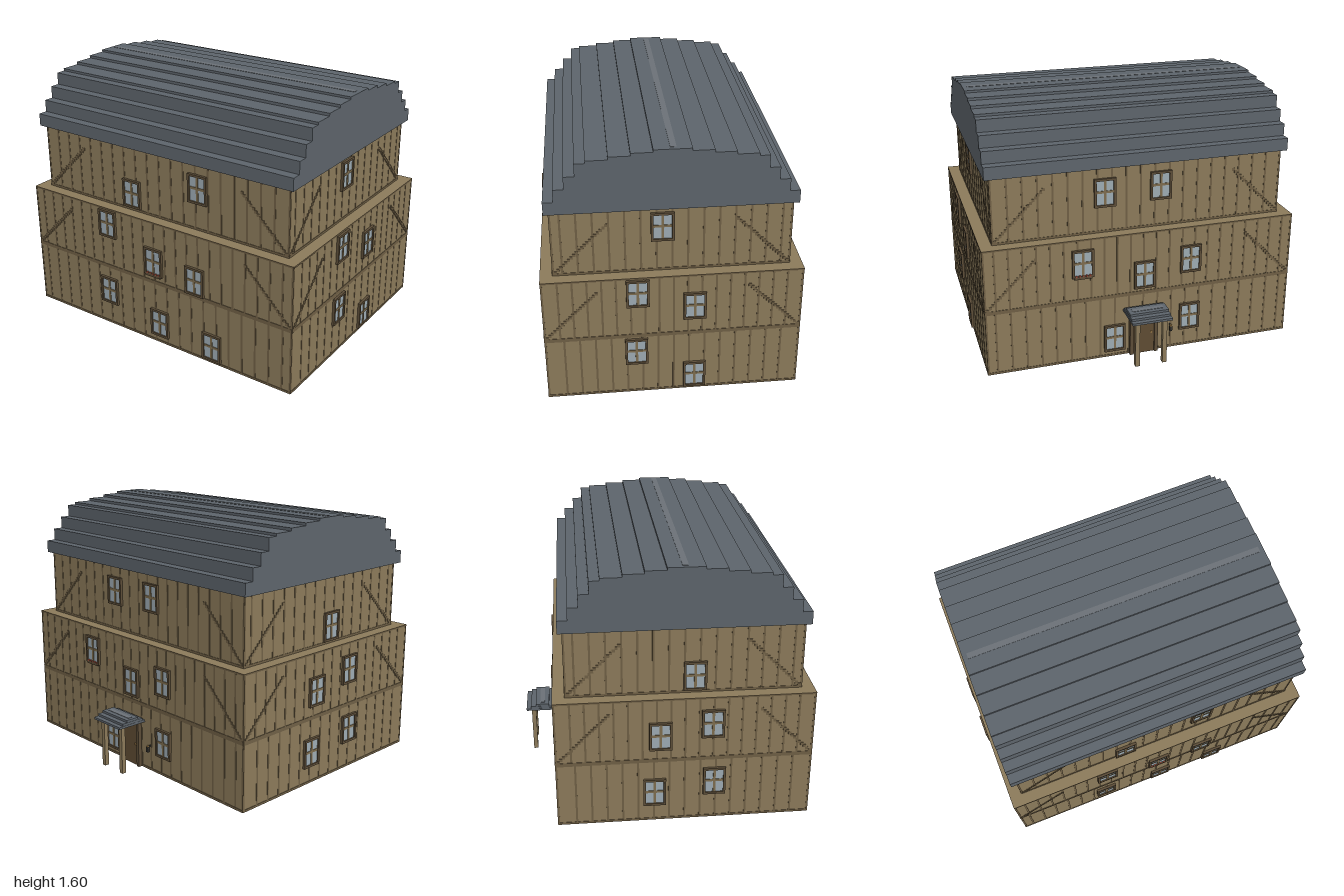
import * as THREE from 'three';

const mat = (color) => new THREE.MeshStandardMaterial({ color, flatShading: true });
const WALL = mat(0x8b7a5a), TRIM = mat(0x6f5f45), FRAME = mat(0x5c4d38), SASH = mat(0x7d6c4e);
const GLASS = mat(0x9dabb3), ROOF = mat(0x5d646b), RIDGE = mat(0x6b7177), DOOR = mat(0x5f4c33);
const FLOWER = mat(0xa04a3a), IRON = mat(0x33322f), GLOW = mat(0xb08a50);

const CZ = 0.089; // depth centre of the main building

// Box from its centre and size
function box(parent, name, material, [x, y, z], [w, h, d]) {
  const m = new THREE.Mesh(new THREE.BoxGeometry(w, h, d), material);
  m.name = name;
  m.position.set(x, y, z);
  parent.add(m);
  return m;
}

// Window lying on a wall, facing local +z
function addWindow(parent, u, y, flowers) {
  const g = new THREE.Group();
  g.name = 'window';
  g.position.set(u, y, 0);
  const w = 0.134, h = 0.18, t = 0.014;
  box(g, 'windowGlass', GLASS, [0, 0, 0.003], [w - t, h - t, 0.01]);
  for (const s of [-1, 1]) {
    box(g, 'windowJamb', FRAME, [s * (w - t) / 2, 0, 0.008], [t, h, 0.017]);
    box(g, 'windowRail', FRAME, [0, s * (h - t) / 2, 0.008], [w - 2 * t, t, 0.017]);
  }
  box(g, 'windowMullion', SASH, [0, 0, 0.006], [0.015, h - 2 * t, 0.012]);
  box(g, 'windowTransom', SASH, [0, 0.005, 0.006], [w - 2 * t, 0.015, 0.0115]);
  if (flowers) {
    box(g, 'flowerBox', FRAME, [0, -0.09, 0.008], [0.11, 0.015, 0.018]);
    for (let i = -2; i <= 2; i++) box(g, 'flower', FLOWER, [i * 0.021, -0.078, 0.011], [0.01, 0.01, 0.012]);
  }
  parent.add(g);
}

// Battens, bands and stepped corner braces of one wall
function addTimber(parent, half, y0, y1, pitch, brace) {
  const out = 0.002, n = Math.floor((half - 0.04) / pitch), h = y1 - y0;
  for (let i = -n; i <= n; i++) {
    box(parent, 'batten', TRIM, [i * pitch, (y0 + y1) / 2, out / 2], [0.012, h, out]);
  }
  for (const s of [-1, 1]) {
    box(parent, 'cornerBoard', TRIM, [s * (half - 0.005), (y0 + y1) / 2, out / 2], [0.01, h, out]);
    if (!brace) continue;
    for (let i = 0; i < 20; i++) {
      box(parent, 'braceStep', TRIM, [s * (half - 0.018 - i * 0.0155), y0 + 0.02 + i * 0.0155, 0.002], [0.018, 0.018, 0.004]);
    }
  }
  box(parent, 'bottomBand', TRIM, [0, y0 + 0.007, 0.0015], [half * 2, 0.014, 0.003]);
  box(parent, 'topBand', TRIM, [0, y1 - 0.005, 0.0015], [half * 2, 0.01, 0.003]);
}

// Storeys: half width, half depth, bottom, top, batten pitch, braces
const STOREYS = [
  { hx: 0.98, hz: 0.757, y0: 0, y1: 0.415, pitch: 0.092, brace: false },
  { hx: 0.98, hz: 0.757, y0: 0.415, y1: 0.82, pitch: 0.083, brace: true },
  { hx: 0.907, hz: 0.686, y0: 0.82, y1: 1.235, pitch: 0.09, brace: true },
];

// Windows as [along, height, flowers]; along is x on front and back, z on the sides
const WINDOWS = {
  front: [
    [[-0.37, 0.245], [0.035, 0.14], [0.43, 0.11]],
    [[-0.36, 0.717], [0, 0.557, true], [0.31, 0.52]],
    [[-0.21, 0.93], [0.29, 1.08]],
  ],
  back: [
    [[0.185, 0.13], [-0.305, 0.21]],
    [[0.383, 0.665, true], [-0.006, 0.54], [-0.305, 0.608]],
    [[0.225, 1.075], [-0.125, 1.085]],
  ],
  left: [
    [[0.31, 0.305], [-0.035, 0.11]],
    [[0.297, 0.716], [-0.035, 0.61]],
    [[0.145, 1.11]],
  ],
  right: [
    [[0.265, 0.26], [-0.09, 0.2]],
    [[0.25, 0.65], [-0.055, 0.58]],
    [[0.15, 0.927]],
  ],
};
const TURN = { front: 0, left: Math.PI / 2, back: Math.PI, right: -Math.PI / 2 };

export function createModel() {
  const model = new THREE.Group();
  model.name = 'house';
  const main = new THREE.Group();
  main.name = 'mainBuilding';
  main.position.z = CZ;
  model.add(main);

  // Storeys with their four dressed walls
  STOREYS.forEach((s, level) => {
    box(main, 'storey', WALL, [0, (s.y0 + s.y1) / 2, 0], [s.hx * 2, s.y1 - s.y0, s.hz * 2]);
    for (const side of Object.keys(TURN)) {
      const isEnd = side === 'left' || side === 'right';
      const half = isEnd ? s.hz : s.hx, dist = isEnd ? s.hx : s.hz;
      const wall = new THREE.Group();
      wall.name = side + 'Wall';
      wall.rotation.y = TURN[side];
      wall.position.set(Math.sin(TURN[side]) * dist, 0, Math.cos(TURN[side]) * dist);
      addTimber(wall, half, s.y0, s.y1, s.pitch, s.brace);
      for (const [a, y, flowers] of WINDOWS[side][level]) {
        const along = isEnd ? a - CZ : a;
        addWindow(wall, side === 'left' || side === 'back' ? -along : along, y, flowers);
      }
      main.add(wall);
    }
  });

  // Stepped roof extruded along x from half its outline: [half depth, top]
  const steps = [[0.713, 1.31], [0.654, 1.385], [0.593, 1.46], [0.532, 1.535],
    [0.473, 1.55], [0.35, 1.567], [0.229, 1.583], [0.107, 1.597]];
  let y = 1.232;
  const edge = [];
  for (const [z, top] of steps) {
    edge.push([z, y], [z, top]);
    y = top;
  }
  const outline = [...edge, ...edge.slice().reverse().map(([z, h]) => [-z, h])];
  const roofGeo = new THREE.ExtrudeGeometry(
    new THREE.Shape(outline.map(([z, h]) => new THREE.Vector2(z, h))), { depth: 1.876, bevelEnabled: false });
  roofGeo.translate(0, 0, -0.938).rotateY(-Math.PI / 2);
  const roof = new THREE.Mesh(roofGeo, ROOF);
  roof.name = 'steppedRoof';
  main.add(roof);
  box(main, 'ridgeStrip', RIDGE, [0, 1.597, -0.004], [1.82, 0.004, 0.035]);

  // Back porch: door, posts, stepped canopy
  const porch = new THREE.Group();
  porch.name = 'porch';
  model.add(porch);
  box(porch, 'door', DOOR, [0, 0.14, -0.672], [0.14, 0.28, 0.024]);
  for (const s of [-1, 1]) {
    box(porch, 'doorJamb', FRAME, [s * 0.08, 0.15, -0.68], [0.022, 0.3, 0.03]);
    box(porch, 'porchPost', WALL, [s * 0.087, 0.153, -0.82], [0.028, 0.306, 0.028]);
  }
  box(porch, 'doorLintel', FRAME, [0, 0.29, -0.68], [0.14, 0.02, 0.03]);
  box(porch, 'doorKnob', GLOW, [-0.05, 0.14, -0.687], [0.01, 0.01, 0.008]);
  [[0.254, 0.212], [0.25, 0.153], [0.246, 0.088]].forEach(([w, d], i) =>
    box(porch, 'canopyStep', ROOF, [0.003, 0.313 + i * 0.0145, -0.761], [w, 0.0145, d]));
  box(porch, 'canopyRidge', RIDGE, [0.003, 0.35, -0.761], [0.2, 0.003, 0.03]);

  // Wall lantern beside the door
  box(model, 'lanternArm', IRON, [-0.178, 0.165, -0.68], [0.008, 0.008, 0.03]);
  box(model, 'lantern', IRON, [-0.178, 0.145, -0.692], [0.016, 0.034, 0.014]);
  box(model, 'lanternLight', GLOW, [-0.178, 0.165, -0.692], [0.012, 0.01, 0.012]);

  return model;
}
